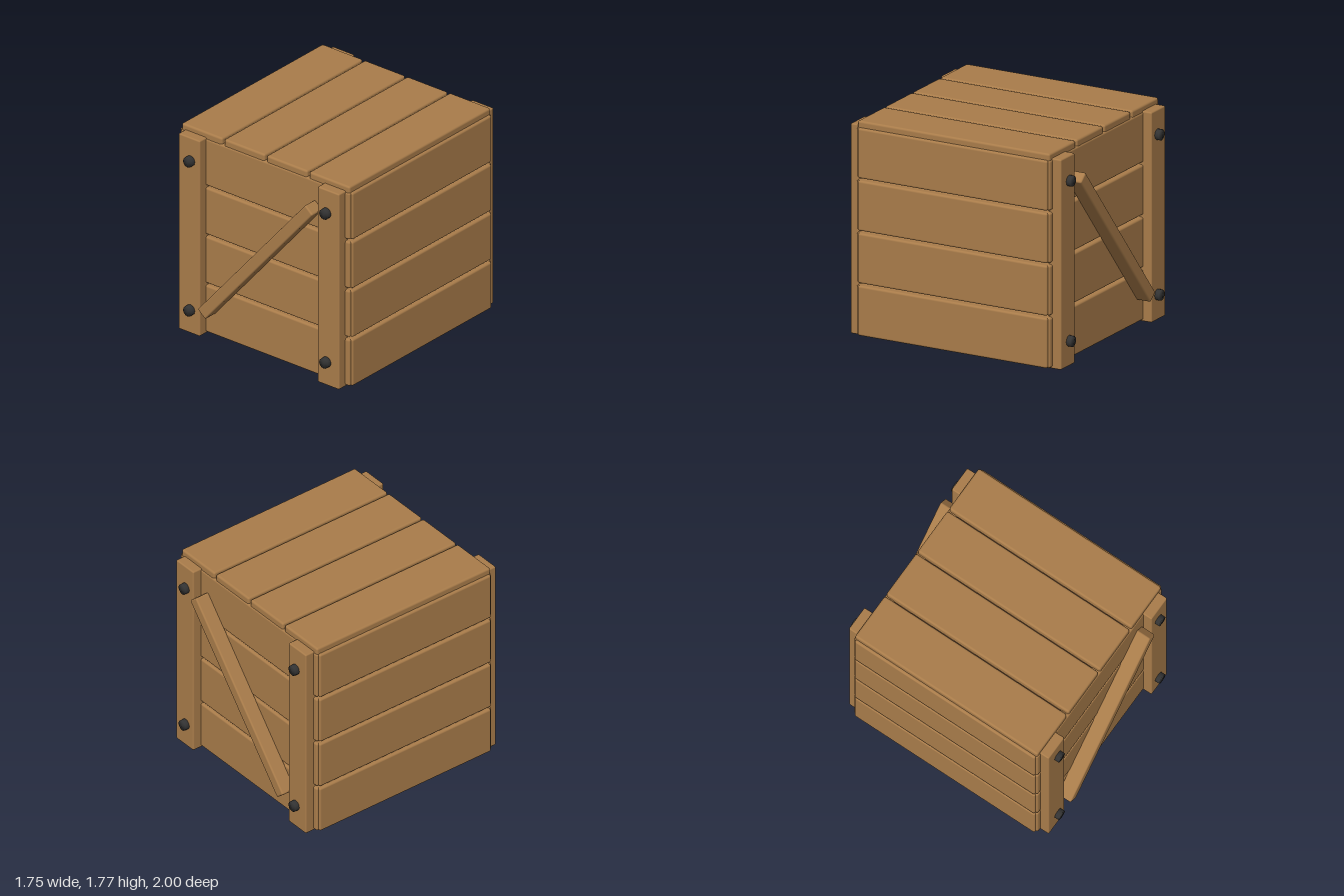
import * as THREE from 'three';
import { RoundedBoxGeometry } from 'three/addons/geometries/RoundedBoxGeometry.js';
import { mergeVertices } from 'three/addons/utils/BufferGeometryUtils.js';

const wood = new THREE.MeshStandardMaterial({ name: 'wood', color: 0xa97c4a });
const darkWood = new THREE.MeshStandardMaterial({ name: 'darkWood', color: 0x5a3d28 });
const iron = new THREE.MeshStandardMaterial({ name: 'iron', color: 0x333333 });

// Board with softly bevelled edges
function board(name, w, h, d, x, y, z, bevel = 0.018) {
  const mesh = new THREE.Mesh(new RoundedBoxGeometry(w, h, d, 2, bevel), wood);
  mesh.name = name;
  mesh.position.set(x, y, z);
  return mesh;
}

// Bolt head with softened normals, axis along z
function boltGeometry() {
  const g = new THREE.CylinderGeometry(0.045, 0.045, 0.08, 12);
  g.deleteAttribute('normal');
  g.deleteAttribute('uv');
  const merged = mergeVertices(g, 1e-4);
  merged.rotateX(Math.PI / 2);
  merged.computeVertexNormals();
  return merged;
}

export function createModel() {
  const crate = new THREE.Group();
  crate.name = 'crate';

  // Dark inner box, seen through the gaps and from below
  const core = new THREE.Mesh(new THREE.BoxGeometry(1.62, 1.66, 1.62), darkWood);
  core.name = 'innerBox';
  core.position.y = 0.88;
  crate.add(core);

  const pitch = 0.432, width = 0.413, thick = 0.085;
  for (let i = 0; i < 4; i++) {
    // Wall planks, four rows on each side
    const y = 0.219 + i * pitch;
    for (const s of [-1, 1]) {
      crate.add(board(s > 0 ? 'frontPlank' : 'backPlank', 1.72, width, thick, 0, y, s * 0.835));
      crate.add(board('sidePlank', thick, width, 1.72, s * 0.835, y, 0));
    }
    // Lid planks
    crate.add(board('lidPlank', width, thick, 1.74, (i - 1.5) * pitch, 1.732, 0));
  }

  const boltGeo = boltGeometry();
  for (const s of [-1, 1]) {
    const frame = new THREE.Group();
    frame.name = s > 0 ? 'frontFrame' : 'backFrame';

    // Corner posts with two bolts each
    for (const side of [-1, 1]) {
      frame.add(board('post', 0.218, 1.73, 0.116, side * 0.708, 0.865, s * 0.896, 0.012));
      for (const y of [0.209, 1.528]) {
        const bolt = new THREE.Mesh(boltGeo, iron);
        bolt.name = 'bolt';
        bolt.position.set(side * 0.692, y, s * 0.952);
        frame.add(bolt);
      }
    }

    // Diagonal brace
    const brace = board('brace', 1.69, 0.1, 0.13, 0, 0.876, s * 0.935, 0.014);
    brace.rotation.z = Math.atan2(1.286, 1.094);
    frame.add(brace);
    crate.add(frame);
  }
  return crate;
}
